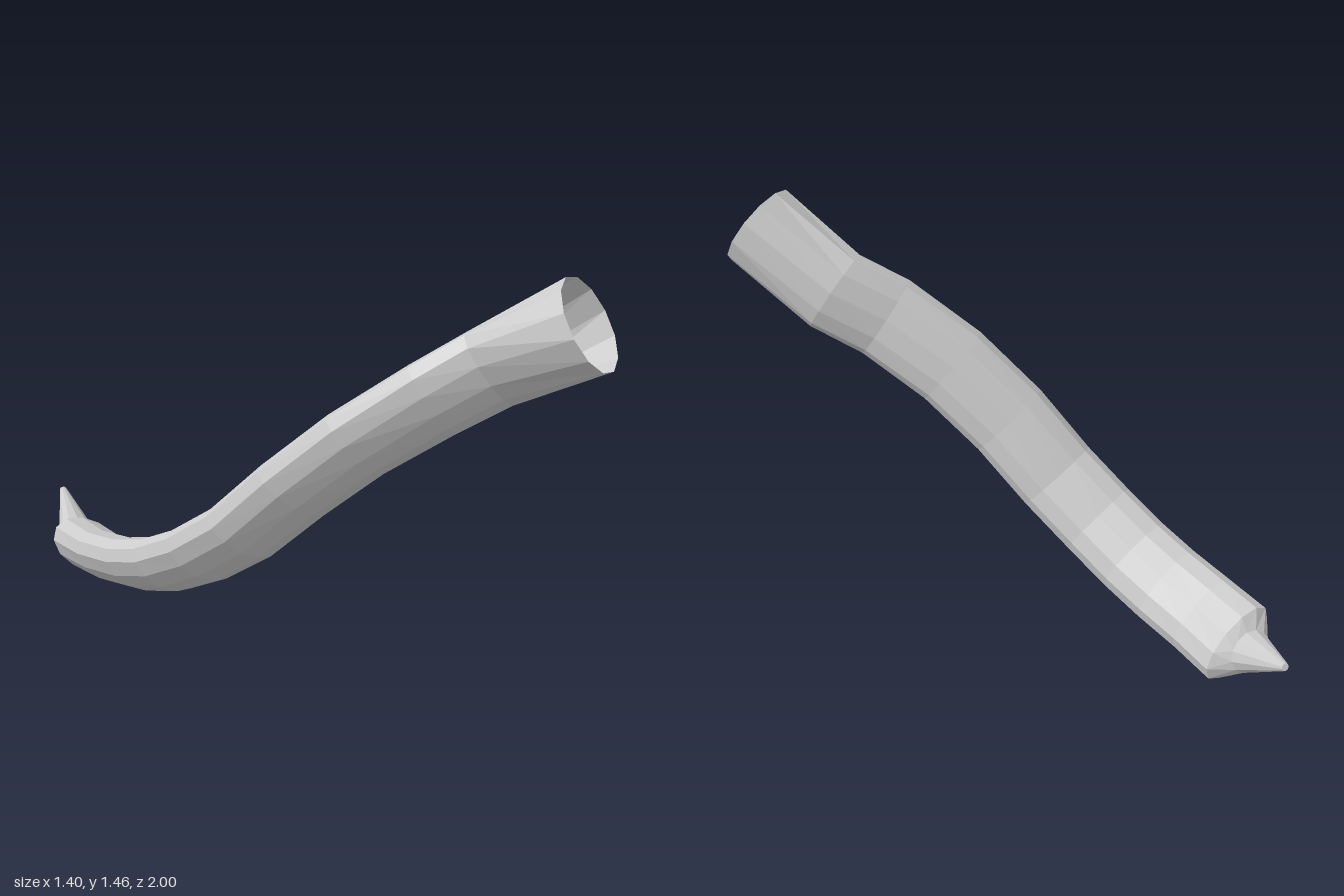
import * as THREE from 'three';

const SIDES = 12;

// Stations from the pointed end to the open mouth:
// centre x, y, z, wide radius, narrow radius, angle of the wide axis (degrees)
const STATIONS = [
  [-0.557, 0.243, -0.993, 0.014, 0.012, 40],
  [-0.58, 0.135, -0.765, 0.082, 0.066, 40],
  [-0.57, 0.128, -0.70, 0.16, 0.095, 40],
  [-0.54, 0.145, -0.52, 0.157, 0.088, 38],
  [-0.49, 0.18, -0.35, 0.157, 0.088, 36],
  [-0.435, 0.235, -0.20, 0.157, 0.088, 35],
  [-0.365, 0.325, -0.05, 0.157, 0.086, 34],
  [-0.27, 0.455, 0.10, 0.158, 0.084, 34],
  [-0.145, 0.65, 0.25, 0.16, 0.083, 37],
  [0.015, 0.845, 0.40, 0.16, 0.083, 41],
  [0.21, 1.02, 0.55, 0.16, 0.082, 50],
  [0.372, 1.125, 0.63, 0.16, 0.088, 56],
  [0.56, 1.32, 0.882, 0.164, 0.164, 52],
];

const centre = (i) => new THREE.Vector3(...STATIONS[i].slice(0, 3));

// Elliptical ring of points, square to the path at station i
function ring(i) {
  const [, , , wide, narrow, degrees] = STATIONS[i];
  const c = centre(i);
  const along = centre(Math.min(i + 1, STATIONS.length - 1))
    .sub(centre(Math.max(i - 1, 0))).normalize();
  const t = THREE.MathUtils.degToRad(degrees);
  const w = new THREE.Vector3(-Math.cos(t), Math.sin(t), 0);
  w.addScaledVector(along, -w.dot(along)).normalize();
  const v = new THREE.Vector3().crossVectors(along, w);
  return Array.from({ length: SIDES }, (_, k) => {
    const a = (k / SIDES) * Math.PI * 2;
    return c.clone()
      .addScaledVector(w, wide * Math.cos(a))
      .addScaledVector(v, narrow * Math.sin(a));
  });
}

// Skin over stations from..to, optionally closed at the first one
function loft(name, from, to, capStart, material) {
  const positions = [];
  const index = [];
  for (let i = from; i <= to; i++) {
    for (const p of ring(i)) positions.push(p.x, p.y, p.z);
  }
  for (let i = 0; i < to - from; i++) {
    for (let k = 0; k < SIDES; k++) {
      const a = i * SIDES + k;
      const b = i * SIDES + ((k + 1) % SIDES);
      index.push(a, b, b + SIDES, a, b + SIDES, a + SIDES);
    }
  }
  if (capStart) {
    for (let k = 1; k < SIDES - 1; k++) index.push(0, k + 1, k);
  }
  const geometry = new THREE.BufferGeometry();
  geometry.setAttribute('position', new THREE.Float32BufferAttribute(positions, 3));
  geometry.setIndex(index);
  geometry.computeVertexNormals();
  const mesh = new THREE.Mesh(geometry, material);
  mesh.name = name;
  return mesh;
}

export function createModel() {
  const material = new THREE.MeshStandardMaterial({
    color: 0xcccccc, flatShading: true, side: THREE.DoubleSide,
  });
  const group = new THREE.Group();
  group.name = 'curvedHorn';
  const last = STATIONS.length - 1;
  group.add(
    loft('mouthpiece', 0, 1, true, material), // thin blunt spike
    loft('taperedEnd', 1, 2, false, material), // shoulder behind the spike
    loft('curvedTube', 2, last - 1, false, material), // bent flattened body
    loft('flaredMouth', last - 1, last, false, material), // open bell
  );
  return group;
}
